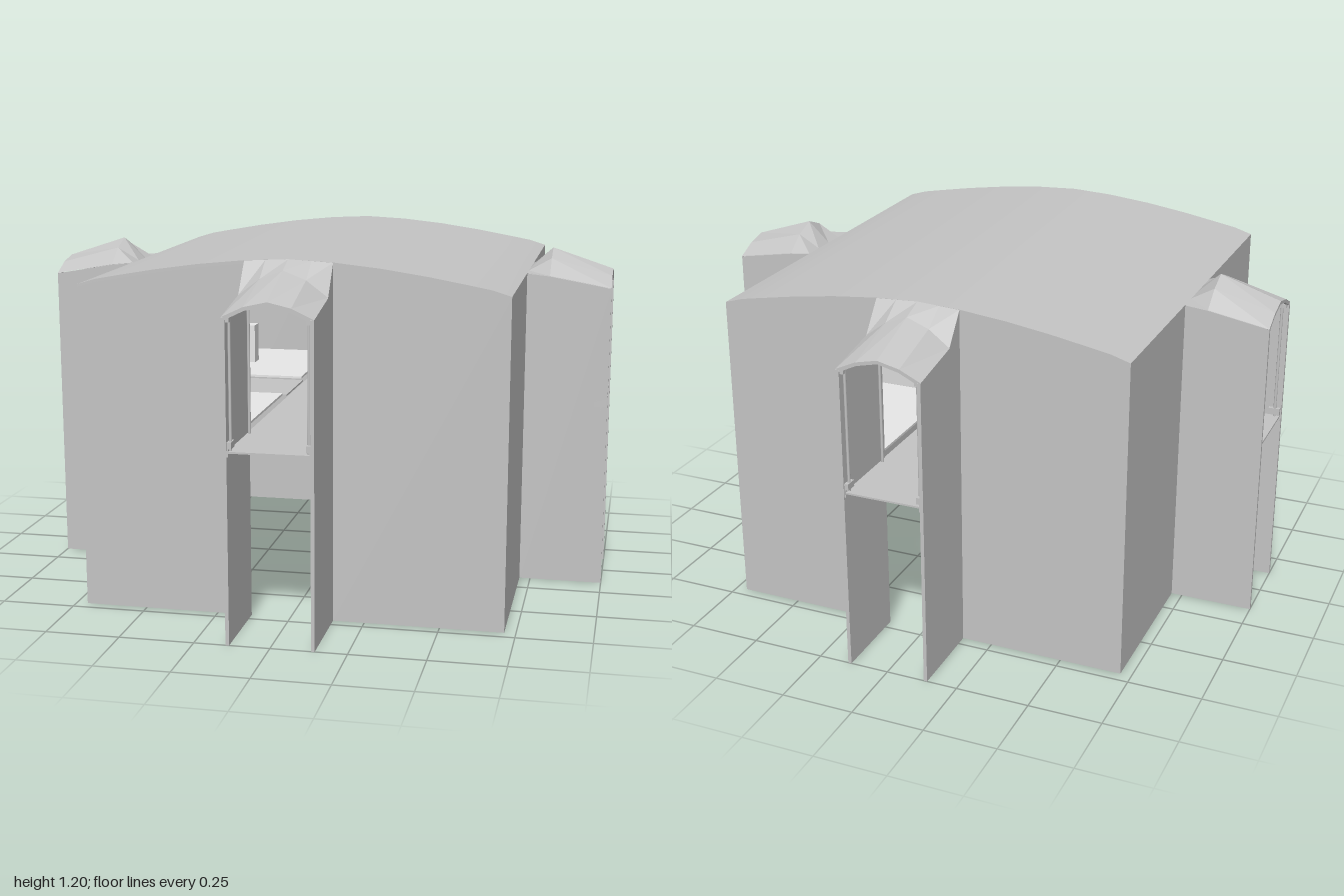
import * as THREE from 'three';
import { toCreasedNormals } from 'three/addons/utils/BufferGeometryUtils.js';

const R = 0.712, W = 0.145, T = 0.012, FLOOR = 0.63;

function material(name, color, side = THREE.FrontSide) {
  const m = new THREE.MeshStandardMaterial({ color, side });
  m.name = name;
  return m;
}

export function createModel() {
  const grey = material('plainGrey', 0xc4c4c4);
  const greySheet = material('plainGreySheet', 0xc4c4c4, THREE.DoubleSide);
  const pale = material('paleGrey', 0xf0f0f0);
  const model = new THREE.Group();
  model.name = 'crossingHall';

  const add = (parent, name, geo, mat, x = 0, y = 0, z = 0) => {
    const mesh = new THREE.Mesh(geo, mat);
    mesh.name = name;
    mesh.position.set(x, y, z);
    parent.add(mesh);
    return mesh;
  };
  const box = (parent, name, w, h, d, x, y, z, mat = grey) =>
    add(parent, name, new THREE.BoxGeometry(w, h, d), mat, x, y, z);
  const extrude = (pts, depth) => new THREE.ExtrudeGeometry(
    new THREE.Shape(pts.map(p => new THREE.Vector2(p[0], p[1]))), { depth, bevelEnabled: false });

  // Roof height across x: a shallow curve with steeper edges
  const half = [[0, 1.2], [0.145, 1.193], [0.3, 1.177], [0.45, 1.155], [0.58, 1.132], [0.65, 1.119], [R, 1.1]];
  const top = [...half.slice(1).reverse().map(p => [-p[0], p[1]]), ...half];
  const under = top.map(p => [p[0], p[1] - 0.01]).reverse();
  const roof = toCreasedNormals(extrude([...top, ...under], 2 * R), 0.3);
  add(model, 'curvedRoof', roof, grey, 0, 0, -R);

  // Outer walls, each split by its gateway
  const endWall = [[W, 0], [R, 0],
    ...half.slice(1).reverse().map(p => [p[0], p[1] - 0.005])];
  for (const sz of [1, -1]) {
    for (const sx of [1, -1]) {
      const pts = endWall.map(p => [p[0] * sx, p[1]]);
      add(model, 'endWall', extrude(pts, T), grey, 0, 0, sz > 0 ? R - T : -R);
      box(model, 'sideWall', T, 1.095, R - W - T, sx * (R - T / 2), 1.095 / 2, sz * (R + W - T) / 2);
      // Corner floor with a small pedestal
      const c = (R + W) / 2;
      box(model, 'cornerFloor', R - W - 0.02, 0.008, R - W - 0.02, sx * c, FLOOR + 0.008, sz * c, pale);
      box(model, 'pedestalBase', 0.13, 0.012, 0.13, sx * c, FLOOR + 0.004, sz * c);
      box(model, 'pedestalPost', 0.06, 0.15, 0.06, sx * c, FLOOR + 0.085, sz * c, pale);
    }
  }

  // Crossing walkway floors
  box(model, 'longWalkway', 2 * W - 0.02, 0.006, 1.99, 0, FLOOR, 0);
  for (const s of [1, -1])
    box(model, 'crossWalkway', 0.995 - W, 0.006, 2 * W - 0.02, s * (0.995 + W) / 2, FLOOR, 0);

  // Gateway porch facing +z; inner holds the canopy heights where it meets the hall
  function porch(inner) {
    const g = new THREE.Group();
    g.name = 'gatewayPorch';
    const sections = [
      { z: 1, y: [1.105, 1.088, 1.055] },
      { z: 0.79, y: [1.174, 1.145, 1.092] },
      { z: R, y: inner },
    ];
    const xs = [-W, -0.075, 0, 0.075, W], order = [2, 1, 0, 1, 2];

    // Faceted canopy
    const pos = [];
    const at = (s, i) => [xs[i], sections[s].y[order[i]], sections[s].z];
    for (let s = 0; s < 2; s++) {
      for (let i = 0; i < 4; i++) {
        const a = at(s, i), b = at(s, i + 1), c = at(s + 1, i + 1), d = at(s + 1, i);
        pos.push(...a, ...b, ...c, ...a, ...c, ...d);
      }
    }
    const canopy = new THREE.BufferGeometry();
    canopy.setAttribute('position', new THREE.Float32BufferAttribute(pos, 3));
    canopy.computeVertexNormals();
    add(g, 'canopy', canopy, greySheet);

    // Arched trim at the mouth
    const rim = xs.map((x, i) => [x, sections[0].y[order[i]]]);
    const rimLow = rim.map(p => [p[0] * 0.97, p[1] - 0.012]).reverse();
    add(g, 'archTrim', extrude([...rimLow, ...rim], 0.012), grey, 0, 0, 0.987);

    const side = [[R, 0], [1, 0], [1, 1.053], [0.79, 1.09], [R, inner[2] - 0.002]];
    for (const s of [1, -1]) {
      const wall = extrude(side, T);
      wall.rotateY(-Math.PI / 2);
      add(g, 'porchWall', wall, grey, s > 0 ? W : -W + T, 0, 0);
      // Slim twin posts with collars
      for (const z of [0.978, 0.745])
        add(g, 'slimPost', new THREE.CylinderGeometry(0.005, 0.005, 0.42, 8), grey, s * 0.125, 0.84, z);
      box(g, 'postCollar', 0.026, 0.022, 0.04, s * 0.132, 0.652, 0.976);
      box(g, 'postCap', 0.022, 0.014, 0.035, s * 0.132, 1.045, 0.976);
      box(g, 'postFoot', 0.016, 0.03, 0.02, s * 0.137, 0.63, 0.986);
    }
    return g;
  }

  for (let k = 0; k < 4; k++) {
    const g = porch(k % 2 ? [1.1, 1.1, 1.1] : [1.2, 1.196, 1.192]);
    g.rotation.y = k * Math.PI / 2;
    model.add(g);
  }
  return model;
}
